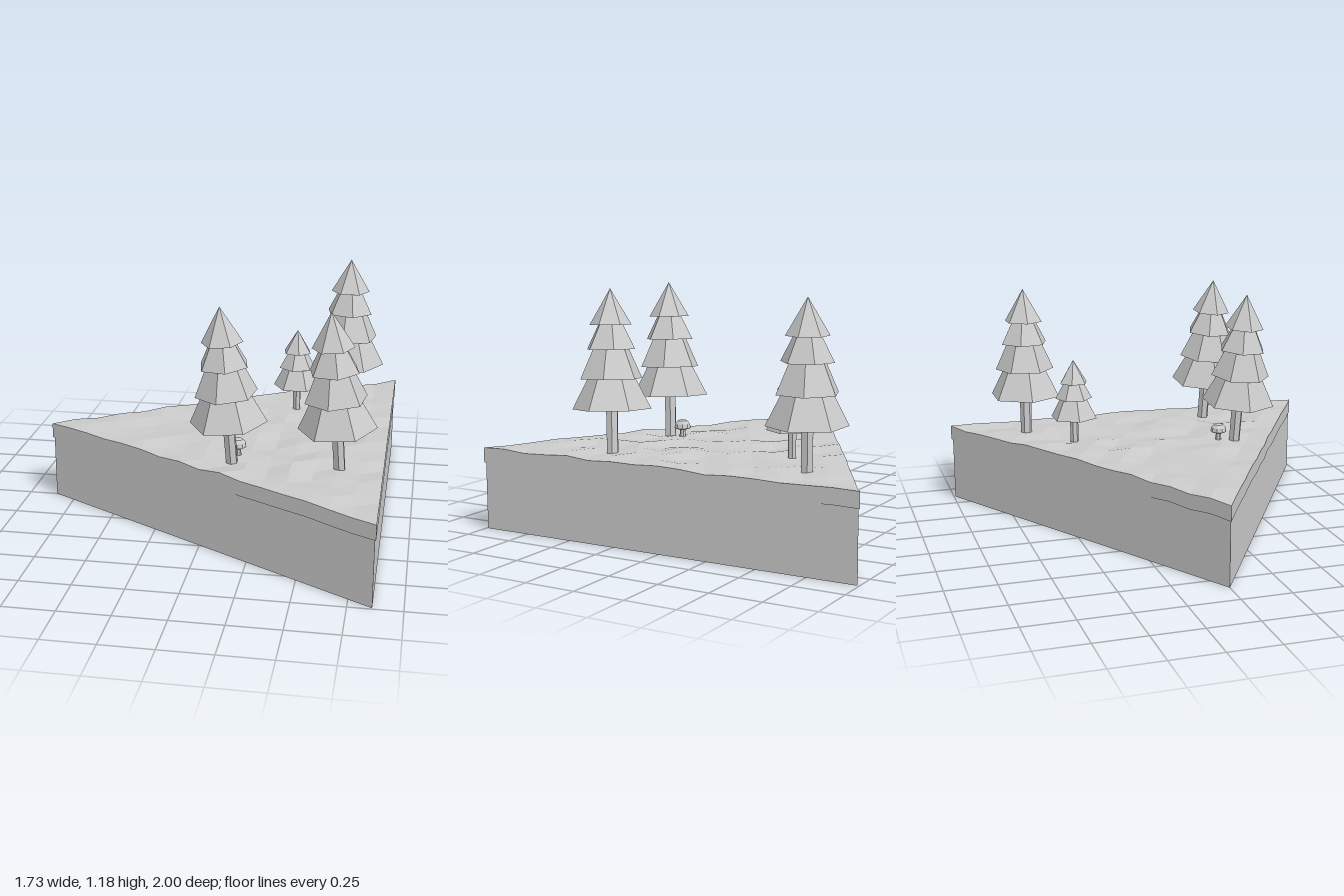
import * as THREE from 'three';

const material = new THREE.MeshStandardMaterial({ color: 0xcccccc, flatShading: true });
const SIDE = 2, DEPTH = Math.sqrt(3), ROWS = 16;

function addMesh(parent, name, geometry, x = 0, y = 0, z = 0) {
  const mesh = new THREE.Mesh(geometry, material);
  mesh.name = name;
  mesh.position.set(x, y, z);
  parent.add(mesh);
  return mesh;
}

// Uneven grass sheet on a triangular lattice, with a skirt hanging over the block
function grassGeometry() {
  let seed = 11;
  const random = () => (seed = (seed * 16807) % 2147483647) / 2147483647;
  const grid = [];
  for (let i = 0; i <= ROWS; i++) {
    grid.push([]);
    for (let j = 0; j <= i; j++) {
      grid[i].push(new THREE.Vector3(
        DEPTH * (i / ROWS - 0.5), 0.395 + 0.021 * random(), (j - i / 2) * SIDE / ROWS));
    }
  }
  const points = [];
  for (let i = 0; i < ROWS; i++) {
    for (let j = 0; j <= i; j++) {
      points.push(grid[i][j], grid[i + 1][j + 1], grid[i + 1][j]);
      if (j < i) points.push(grid[i][j], grid[i][j + 1], grid[i + 1][j + 1]);
    }
  }
  // Walk the outline: front slope, right side, back slope
  const rim = [];
  for (let i = 0; i < ROWS; i++) rim.push(grid[i][i]);
  for (let j = ROWS; j > 0; j--) rim.push(grid[ROWS][j]);
  for (let i = ROWS; i > 0; i--) rim.push(grid[i][0]);
  const lower = rim.map((p) => new THREE.Vector3(p.x, p.y - 0.075, p.z));
  rim.forEach((a, k) => {
    const n = (k + 1) % rim.length;
    points.push(lower[k], lower[n], rim[n], lower[k], rim[n], a);
  });
  const geometry = new THREE.BufferGeometry().setFromPoints(points);
  geometry.computeVertexNormals();
  return geometry;
}

// Pine: trunk and stacked six-sided tiers, leaning from its foot towards its tip.
// Each tier is [height above the foot, lower radius, upper radius].
function addTree(parent, name, foot, tip, trunkRadius, tiers) {
  const tree = new THREE.Group();
  tree.name = name;
  const axis = new THREE.Vector3(...tip).sub(new THREE.Vector3(...foot));
  const height = axis.length();
  tree.position.set(...foot);
  tree.quaternion.setFromUnitVectors(new THREE.Vector3(0, 1, 0), axis.normalize());

  const trunkTop = tiers[0][0] + 0.05;
  addMesh(tree, 'trunk',
    new THREE.CylinderGeometry(trunkRadius, trunkRadius * 0.95, trunkTop + 0.04, 6),
    0, trunkTop / 2 - 0.02, 0);

  tiers.forEach(([base, lower, upper], i) => {
    const last = i === tiers.length - 1;
    const top = last ? height : tiers[i + 1][0] + 0.008;
    const tier = addMesh(tree, 'foliageTier',
      last ? new THREE.ConeGeometry(lower, top - base, 6)
        : new THREE.CylinderGeometry(upper, lower, top - base, 6),
      0, (base + top) / 2, 0);
    tier.rotation.y = Math.PI / 6 + i * 0.36;
  });
  parent.add(tree);
}

export function createModel() {
  const model = new THREE.Group();
  model.name = 'forestIsland';

  // Triangular earth block, slightly smaller than the grass
  const radius = (SIDE / Math.sqrt(3)) * 0.992;
  addMesh(model, 'earthBlock',
    new THREE.CylinderGeometry(radius, radius, 0.37, 3, 1, false, Math.PI * 1.5),
    DEPTH / 6, 0.185, 0);
  addMesh(model, 'grass', grassGeometry());

  // Trees
  const large = [[0.2, 0.188, 0.11], [0.345, 0.152, 0.085], [0.485, 0.124, 0.06], [0.6, 0.1, 0]];
  const small = [[0.125, 0.122, 0.065], [0.228, 0.095, 0.045], [0.31, 0.075, 0]];
  addTree(model, 'frontRightTree', [0.14, 0.41, 0.385], [0.085, 1.18, 0.424], 0.031, large);
  addTree(model, 'frontLeftTree', [0.657, 0.41, 0.385], [0.602, 1.18, 0.424], 0.031, large);
  addTree(model, 'backTree', [0.617, 0.41, -0.63], [0.617, 1.18, -0.63], 0.031, large);
  addTree(model, 'smallTree', [0.362, 0.41, -0.426], [0.362, 0.84, -0.426], 0.022, small);

  // Mushroom
  const mushroom = new THREE.Group();
  mushroom.name = 'mushroom';
  mushroom.position.set(0.158, 0.4, 0.302);
  addMesh(mushroom, 'stem', new THREE.CylinderGeometry(0.013, 0.017, 0.07, 8), 0, 0.03, 0);
  const capProfile = [[0, 0.05], [0.03, 0.046], [0.042, 0.052], [0.038, 0.073], [0.024, 0.089], [0, 0.095]];
  addMesh(mushroom, 'cap',
    new THREE.LatheGeometry(capProfile.map(([r, y]) => new THREE.Vector2(r, y)), 9));
  model.add(mushroom);

  return model;
}
